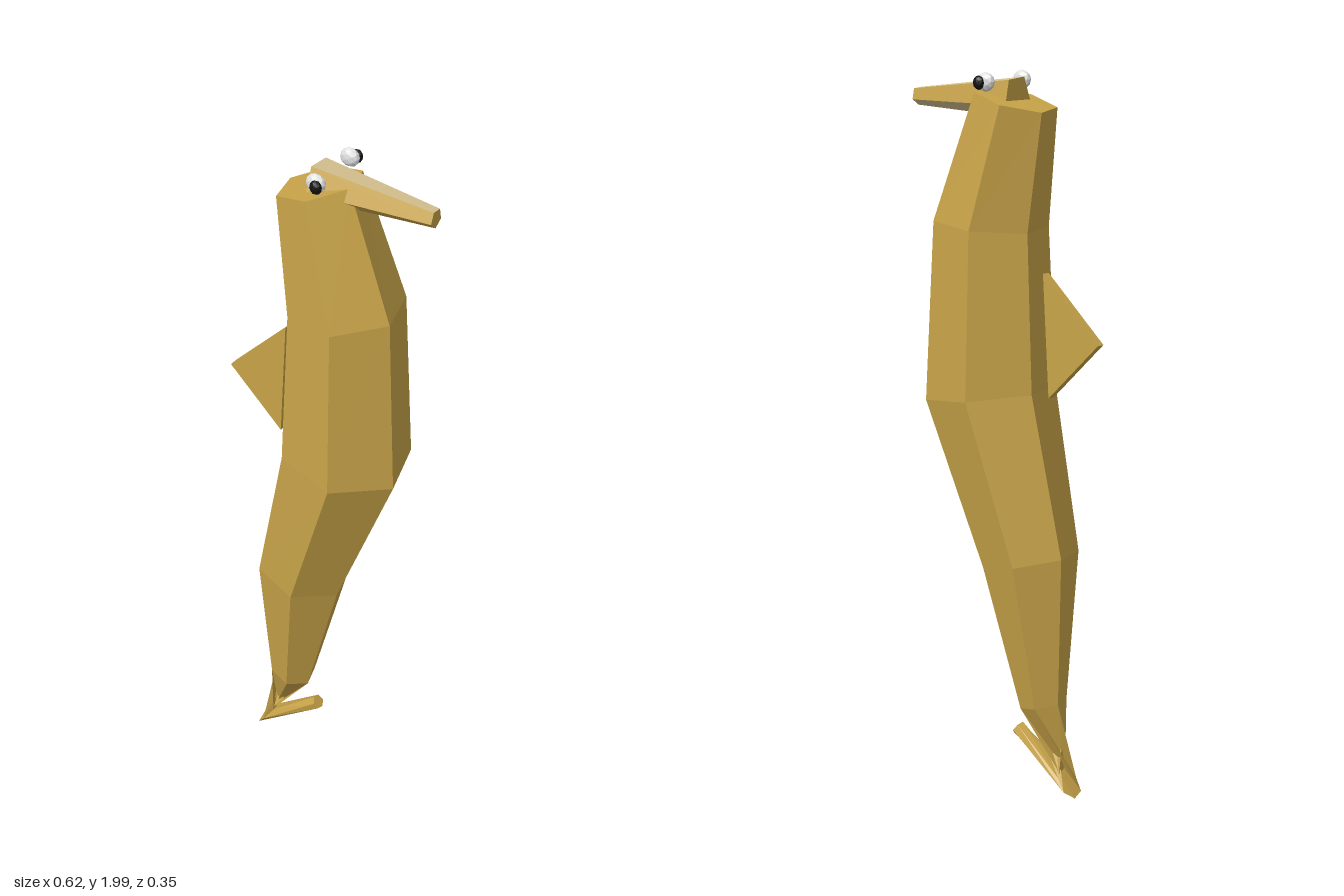
import * as THREE from 'three';

const mat = (name, color, side = THREE.FrontSide) => {
  const m = new THREE.MeshStandardMaterial({ color, side });
  m.name = name;
  m.flatShading = true;
  return m;
};

// Lofts polygon rings. Ring: [x, y, radius, ux, uy, zSign]; u is the in-plane axis.
// paint(k) gives the material index of side strip k.
function loft(rings, sides, startDeg, paint = () => 0) {
  const pts = rings.map(([x, y, r, ux, uy, s]) => {
    const u = new THREE.Vector2(ux, uy).normalize();
    return Array.from({ length: sides }, (_, k) => {
      const a = THREE.MathUtils.degToRad(startDeg) + (k * 2 * Math.PI) / sides;
      const c = r * Math.cos(a);
      return [x + u.x * c, y + u.y * c, s * r * Math.sin(a)];
    });
  });
  const pos = [];
  const geo = new THREE.BufferGeometry();
  const tri = (a, b, c) => pos.push(...a, ...b, ...c);
  for (let k = 0; k < sides; k++) {
    const n = (k + 1) % sides;
    const start = pos.length / 3;
    for (let i = 0; i < pts.length - 1; i++) {
      const p = pts[i], q = pts[i + 1];
      tri(p[k], p[n], q[n]);
      tri(p[k], q[n], q[k]);
    }
    geo.addGroup(start, pos.length / 3 - start, paint(k));
  }
  // End caps
  const start = pos.length / 3;
  const first = pts[0], last = pts[pts.length - 1];
  for (let k = 1; k < sides - 1; k++) {
    tri(first[0], first[k + 1], first[k]);
    tri(last[0], last[k], last[k + 1]);
  }
  geo.addGroup(start, pos.length / 3 - start, 0);
  geo.setAttribute('position', new THREE.Float32BufferAttribute(pos, 3));
  geo.computeVertexNormals();
  return geo;
}

export function createModel() {
  const group = new THREE.Group();
  group.name = 'seahorse';
  const gold = mat('gold', 0xc8a449, THREE.DoubleSide);
  const beige = mat('pale beige', 0xd5c290, THREE.DoubleSide);
  const white = mat('eye white', 0xe0e0e0);
  const black = mat('pupil black', 0x121212);

  const add = (name, geo, material) => {
    const mesh = new THREE.Mesh(geo, material);
    mesh.name = name;
    group.add(mesh);
    return mesh;
  };

  // Six-sided body, from the neck down to the twisted, curled tail
  add('bodyAndTail', loft([
    [-0.03, 1.922, 0.114, 1, 0.27, 1],
    [0.053, 1.587, 0.158, 1, 0.09, 1],
    [0.055, 1.12, 0.181, 1, -0.12, 1],
    [-0.083, 0.667, 0.135, 1, -0.2, 1],
    [-0.128, 0.255, 0.066, 1, -0.24, 1],
    [-0.22, 0.035, 0.041, -0.62, -0.78, -1],
    [-0.04, 0.167, 0.021, 0.6, -0.8, -1],
  ], 6, 15), [gold, beige]);

  // Five-sided tapering snout with two pale strips
  add('snout', loft([
    [-0.035, 1.932, 0.058, 0, 1, 1],
    [0.306, 1.922, 0.026, 0, 1, 1],
  ], 5, 31, (k) => (k === 2 || k === 4 ? 1 : 0)), [gold, beige]);

  // Triangular back fin
  const finShape = new THREE.Shape([[-0.31, 1.29], [-0.15, 1.13], [-0.13, 1.467]]
    .map(([x, y]) => new THREE.Vector2(x, y)));
  const fin = new THREE.ExtrudeGeometry(finShape, { depth: 0.026, bevelEnabled: false });
  fin.translate(0, 0, -0.013);
  add('backFin', fin, gold);

  // Eyes with pupils on both sides
  for (const s of [1, -1]) {
    const side = s > 0 ? 'Front' : 'Back';
    const eye = add('eye' + side, new THREE.IcosahedronGeometry(1, 1), white);
    eye.scale.set(0.028, 0.026, 0.017);
    eye.position.set(0.01, 1.971, s * 0.08);
    const pupil = add('pupil' + side, new THREE.IcosahedronGeometry(1, 1), black);
    pupil.scale.set(0.017, 0.019, 0.012);
    pupil.position.set(0.02, 1.969, s * 0.097);
  }
  return group;
}
